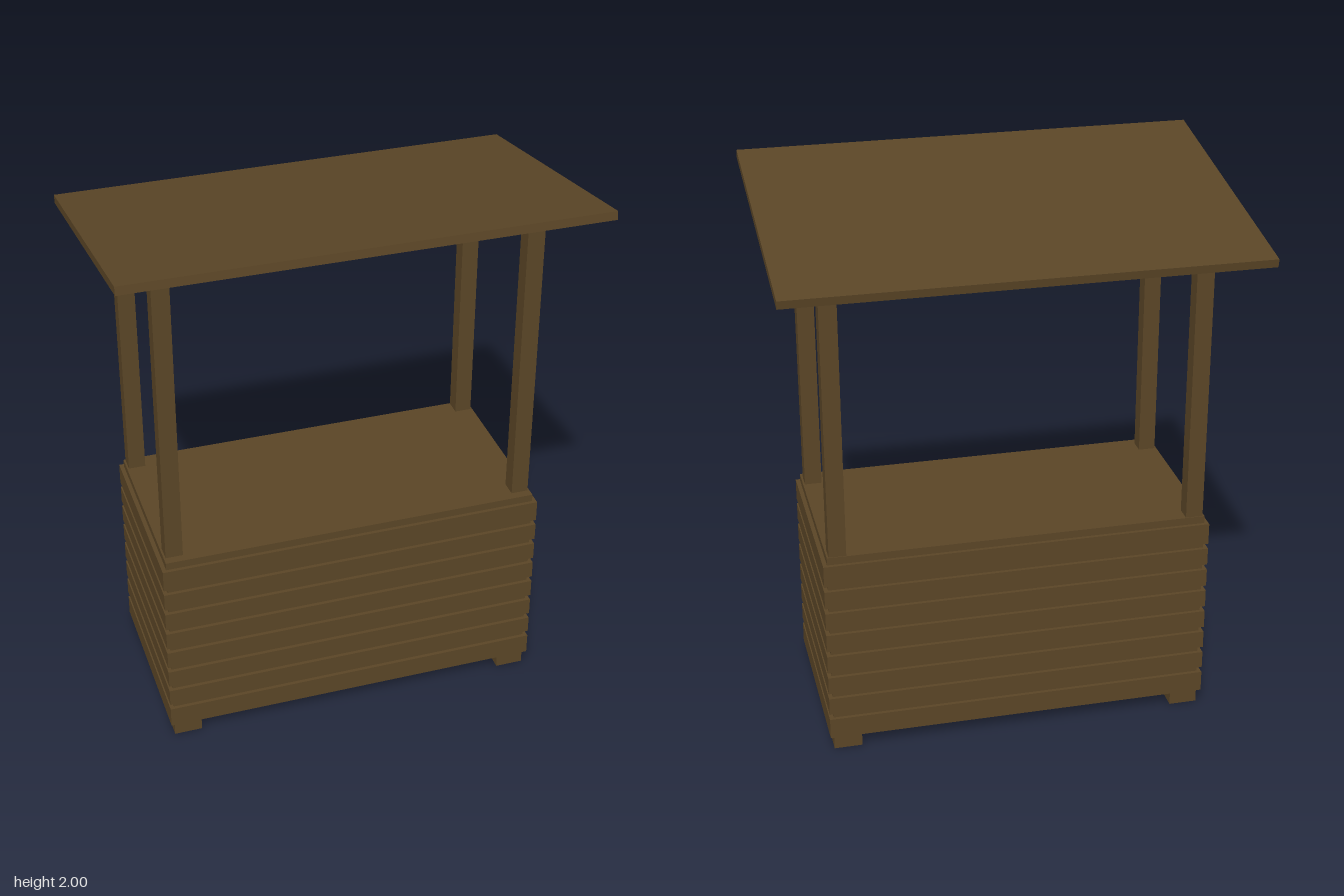
import * as THREE from 'three';

export function createModel() {
  const stall = new THREE.Group();
  stall.name = 'marketStall';

  const wood = new THREE.MeshStandardMaterial({ color: 0x5a4526 });
  wood.name = 'darkWood';

  // Box given by its centre, its bottom and top heights, and its footprint
  function addBox(name, x, z, bottom, top, width, depth) {
    const mesh = new THREE.Mesh(new THREE.BoxGeometry(width, top - bottom, depth), wood);
    mesh.name = name;
    mesh.position.set(x, (bottom + top) / 2, z);
    stall.add(mesh);
    return mesh;
  }

  // Counter body, with planks wrapped around it
  addBox('counterBody', 0, 0, 0.056, 0.785, 1.37, 0.67);
  const planks = [
    [0.054, 0.132], [0.154, 0.219], [0.241, 0.307], [0.328, 0.395],
    [0.416, 0.482], [0.503, 0.57], [0.591, 0.657], [0.677, 0.757],
  ];
  for (const [bottom, top] of planks) addBox('plank', 0, 0, bottom, top, 1.4, 0.696);

  // Feet and roof posts at the four corners
  for (const side of [-1, 1]) {
    for (const end of [-1, 1]) addBox('foot', side * 0.635, end * 0.285, 0, 0.06, 0.102, 0.102);
    addBox('frontPost', side * 0.647, 0.274, 0.75, 1.93, 0.062, 0.06);
    addBox('backPost', side * 0.647, -0.302, 0.75, 1.83, 0.062, 0.06);
  }

  // Roof board, sloping down to the back
  const roof = addBox('roof', 0, 0, 1.879, 1.909, 1.664, 1.05);
  roof.rotation.x = -THREE.MathUtils.degToRad(10);

  return stall;
}
